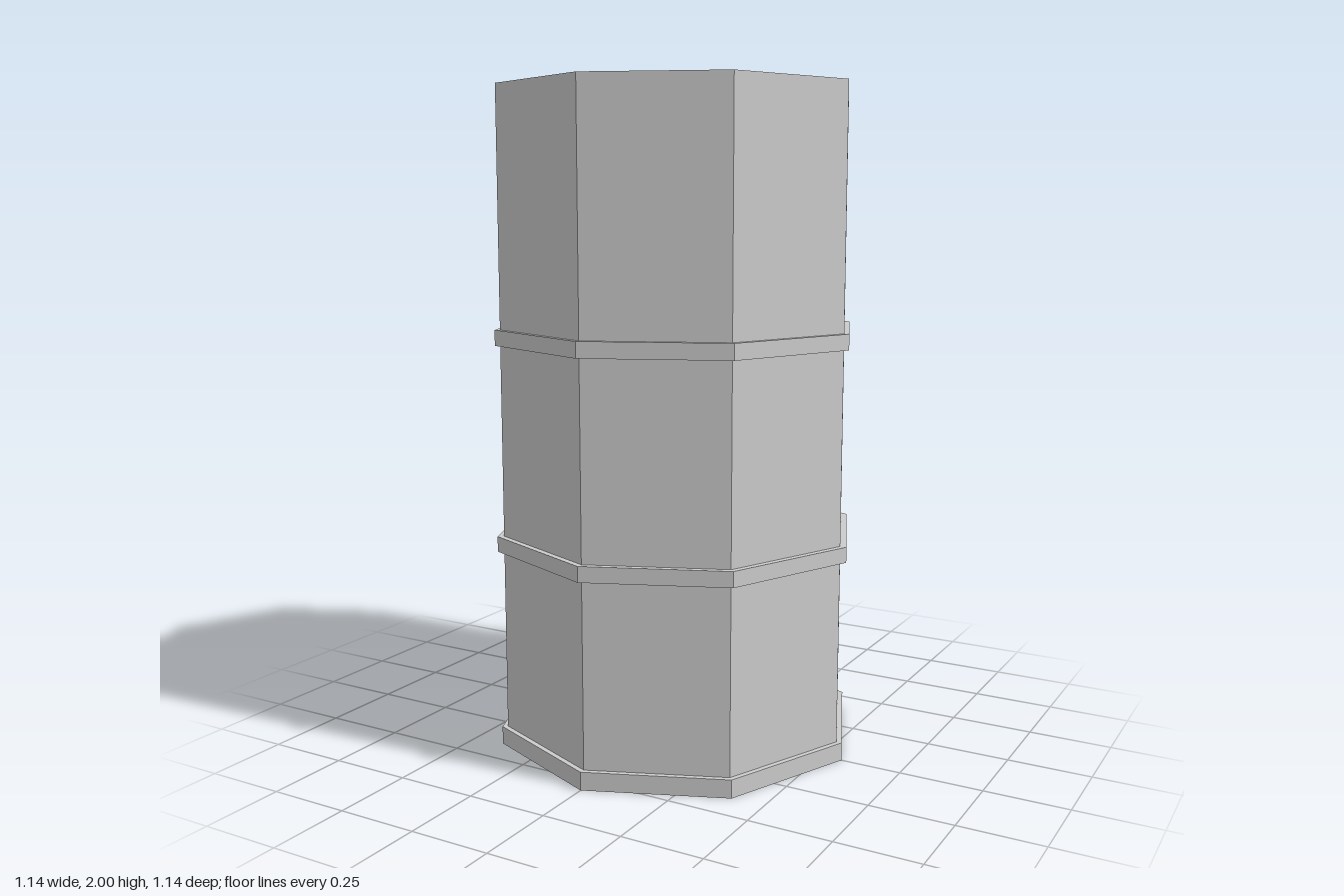
import * as THREE from 'three';

const SIDES = 8;
const RADIUS = 0.548;
const HEIGHT = 2;
const BUNG = { x: 0.312, z: 0.09, radius: 0.107, depth: 0.2, turn: 0.06 };

// Corners of a regular octagon, in plan
function octagon(PathType, cx, cy, radius, turn = 0) {
  const points = [];
  for (let i = 0; i < SIDES; i++) {
    const a = turn + (i / SIDES) * Math.PI * 2;
    points.push(new THREE.Vector2(cx + Math.cos(a) * radius, cy + Math.sin(a) * radius));
  }
  return new PathType(points);
}

export function createModel() {
  const barrel = new THREE.Group();
  barrel.name = 'barrel';
  const material = new THREE.MeshStandardMaterial({ color: 0xcccccc, flatShading: true });
  const inside = material.clone();
  inside.side = THREE.BackSide;

  function add(name, geometry, mat = material) {
    const mesh = new THREE.Mesh(geometry, mat);
    mesh.name = name;
    barrel.add(mesh);
    return mesh;
  }

  // Straight eight-sided wall
  const wall = new THREE.CylinderGeometry(RADIUS, RADIUS, HEIGHT, SIDES, 1, true);
  add('wall', wall).position.y = HEIGHT / 2;

  // Base plate and raised hoops: [name, bottom, top, radius]
  const hoops = [
    ['baseHoop', 0, 0.055, 0.565],
    ['lowerHoop', 0.613, 0.66, 0.568],
    ['upperHoop', 1.24, 1.287, 0.564],
  ];
  for (const [name, y0, y1, r] of hoops) {
    const profile = [[y0 === 0 ? 0 : RADIUS, y0], [r, y0], [r, y1], [RADIUS, y1]];
    add(name, new THREE.LatheGeometry(profile.map(([x, y]) => new THREE.Vector2(x, y)), SIDES));
  }

  // Flat lid with the bung opening cut out
  const lidShape = octagon(THREE.Shape, 0, 0, RADIUS);
  lidShape.holes.push(octagon(THREE.Path, BUNG.x, -BUNG.z, BUNG.radius, BUNG.turn));
  add('lid', new THREE.ShapeGeometry(lidShape).rotateX(-Math.PI / 2)).position.y = HEIGHT;

  // Recess below the opening: inward-facing wall and floor
  const recess = new THREE.CylinderGeometry(BUNG.radius, BUNG.radius, BUNG.depth, SIDES, 1, true);
  const recessWall = add('bungRecessWall', recess, inside);
  recessWall.position.set(BUNG.x, HEIGHT - BUNG.depth / 2, BUNG.z);
  recessWall.rotation.y = BUNG.turn;

  const floor = new THREE.CircleGeometry(BUNG.radius, SIDES).rotateX(-Math.PI / 2);
  const recessFloor = add('bungRecessFloor', floor);
  recessFloor.position.set(BUNG.x, HEIGHT - BUNG.depth, BUNG.z);
  recessFloor.rotation.y = BUNG.turn;

  return barrel;
}
